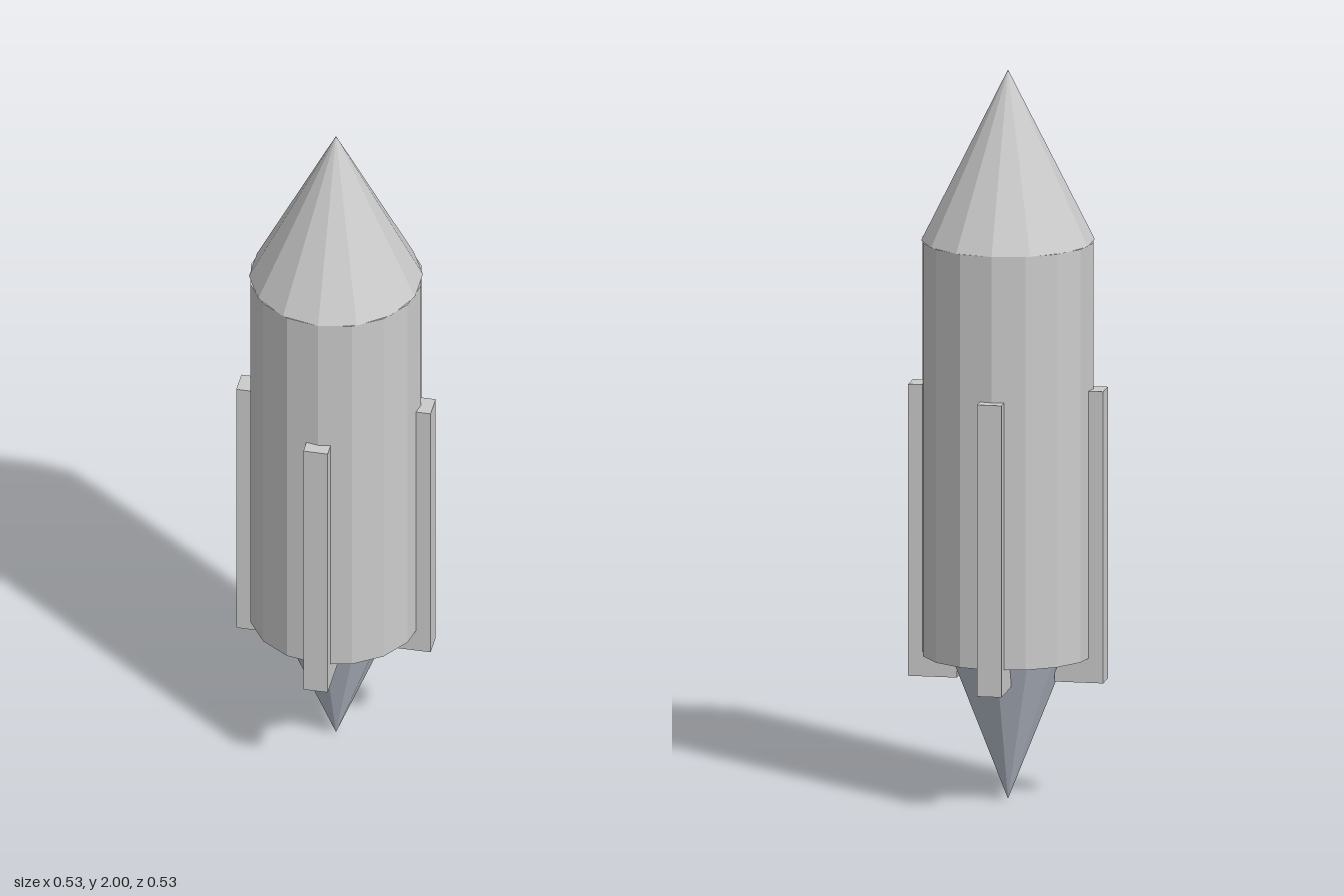
import * as THREE from 'three';

export function createModel() {
  const group = new THREE.Group();
  const grey = new THREE.MeshStandardMaterial({ color: 0xcccccc, flatShading: true });
  const blueGrey = new THREE.MeshStandardMaterial({ color: 0xb8bfcc, flatShading: true });

  function add(name, geometry, material, x, y, z) {
    const mesh = new THREE.Mesh(geometry, material);
    mesh.name = name;
    mesh.position.set(x, y, z);
    group.add(mesh);
    return mesh;
  }

  // Main hull and nose
  const radius = 0.2333;
  add('body', new THREE.CylinderGeometry(radius, radius, 1.1333, 16), grey, 0, 0.9667, 0);
  add('noseCone', new THREE.ConeGeometry(radius, 0.4667, 14), grey, 0, 1.7667, 0);

  // Exhaust cone, pointing down
  add('exhaustCone', new THREE.CylinderGeometry(0.16, 0, 0.4, 12), blueGrey, 0, 0.2, 0);

  // Four fins around the hull, hanging slightly below it
  const finGeometry = new THREE.BoxGeometry(0.0667, 0.8, 0.1333);
  ['frontFin', 'leftFin', 'backFin', 'rightFin'].forEach((name, i) => {
    const angle = (i * Math.PI) / 2;
    const fin = add(name, finGeometry, grey, Math.sin(angle) * 0.2, 0.7333, Math.cos(angle) * 0.2);
    fin.rotation.y = angle;
  });

  return group;
}
